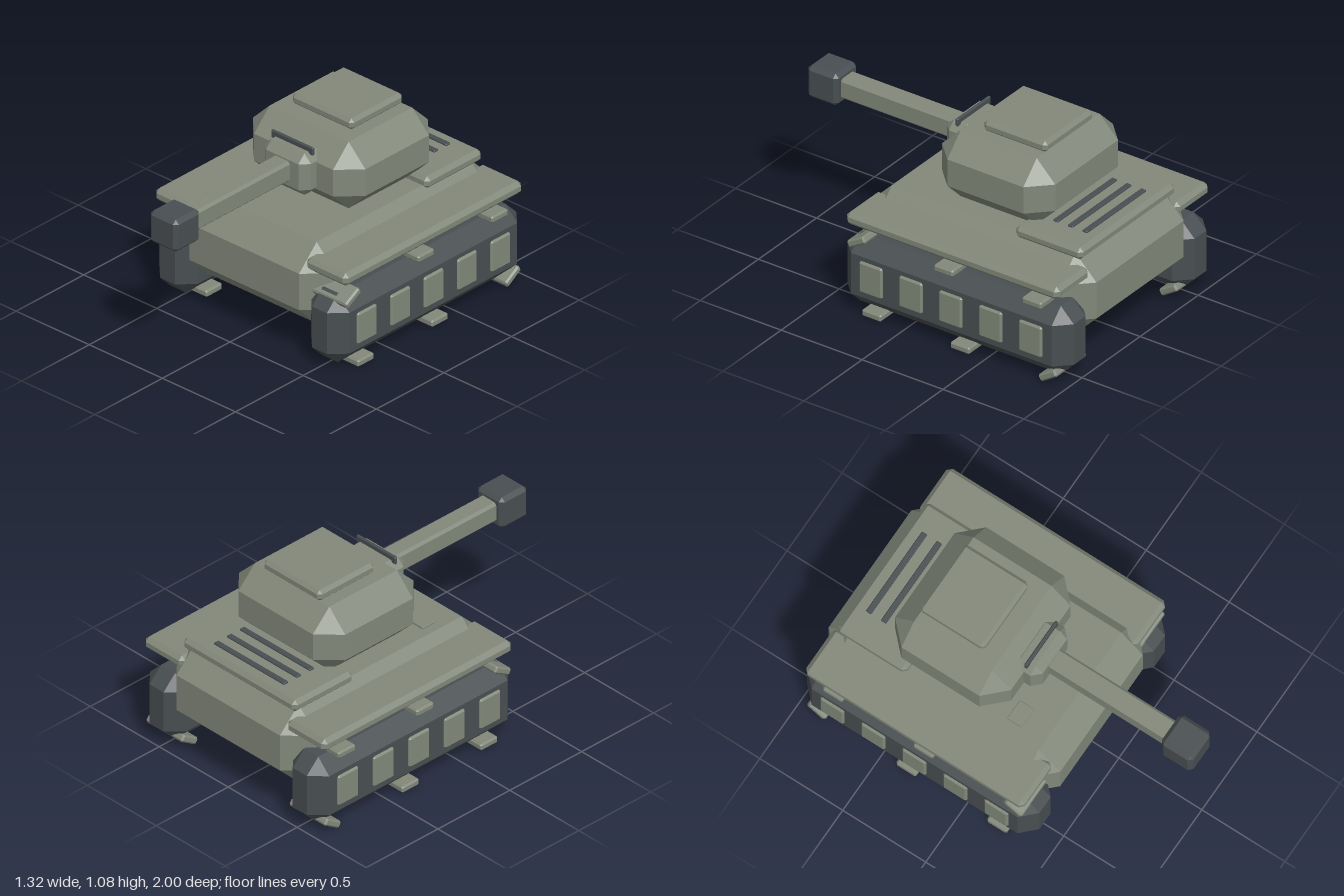
import * as THREE from 'three';
import { ConvexGeometry } from 'three/addons/geometries/ConvexGeometry.js';

export function createModel() {
  const tank = new THREE.Group();
  tank.name = 'tank';
  const green = new THREE.MeshStandardMaterial({ color: 0x82887a });
  green.name = 'armour green';
  const dark = new THREE.MeshStandardMaterial({ color: 0x484e51 });
  dark.name = 'dark steel';

  // Box with every edge cut by c, given as [min, max] ranges per axis
  function block(name, material, x, y, z, c, tilt = 0) {
    const range = [x, y, z];
    const half = range.map(([a, b]) => (b - a) / 2);
    const points = [];
    for (let full = 0; full < 3; full++) {
      for (const sx of [-1, 1]) for (const sy of [-1, 1]) for (const sz of [-1, 1]) {
        const s = [sx, sy, sz];
        points.push(new THREE.Vector3(...half.map((h, i) => s[i] * (i === full ? h : h - c))));
      }
    }
    const mesh = new THREE.Mesh(new ConvexGeometry(points), material);
    mesh.name = name;
    mesh.position.set(...range.map(([a, b]) => (a + b) / 2));
    mesh.rotation.x = tilt;
    tank.add(mesh);
  }

  // Hull and engine deck
  block('hull', green, [-0.505, 0.505], [0.16, 0.63], [-1, 0.395], 0.13);
  block('engineDeck', green, [-0.41, 0.41], [0.61, 0.68], [-0.93, -0.515], 0.022);
  for (const z of [-0.84, -0.75, -0.66]) {
    block('engineVent', dark, [-0.255, 0.255], [0.66, 0.69], [z - 0.016, z + 0.016], 0.004);
  }
  block('driverHatch', green, [-0.325, -0.21], [0.615, 0.642], [0.042, 0.13], 0.003);

  // Turret
  block('turret', green, [-0.385, 0.385], [0.638, 1.022], [-0.67, 0.03], 0.115);
  block('turretHatch', green, [-0.21, 0.207], [1.015, 1.08], [-0.565, -0.175], 0.019);
  block('mantlet', green, [-0.156, 0.156], [0.718, 0.958], [-0.06, 0.115], 0.045);
  block('sightSlit', dark, [-0.145, 0.141], [0.94, 0.985], [0.024, 0.042], 0.005);
  block('barrel', green, [-0.058, 0.054], [0.79, 0.905], [0.08, 0.83], 0.014);
  block('muzzle', dark, [-0.097, 0.093], [0.755, 0.94], [0.81, 1], 0.022);

  // Running gear, the same on both sides
  for (const side of [-1, 1]) {
    const x = (inner, outer) => (side > 0 ? [inner, outer] : [-outer, -inner]);
    block('track', dark, x(0.388, 0.65), [0.034, 0.43], [-1, 0.4], 0.08);
    block('fender', green, x(0.375, 0.658), [0.506, 0.58], [-0.962, 0.355], 0.023);

    for (let i = 0; i < 5; i++) {
      const z = 0.195 - i * 0.247;
      block('wheelPlate', green, x(0.62, 0.662), [0.145, 0.325], [z - 0.072, z + 0.072], 0.01);
    }

    // Track pads: [centre y, centre z, tilt]
    const pads = [
      [0.42, 0.29, 0.52], [0.44, -0.25, 0], [0.44, -0.795, 0],
      [0.025, 0.195, 0], [0.025, -0.352, 0], [0.05, -0.893, 0.56],
    ];
    for (const [y, z, tilt] of pads) {
      block('trackPad', green, x(0.386, 0.652), [y - 0.02, y + 0.02], [z - 0.06, z + 0.06], 0.009, tilt);
    }
  }
  return tank;
}
